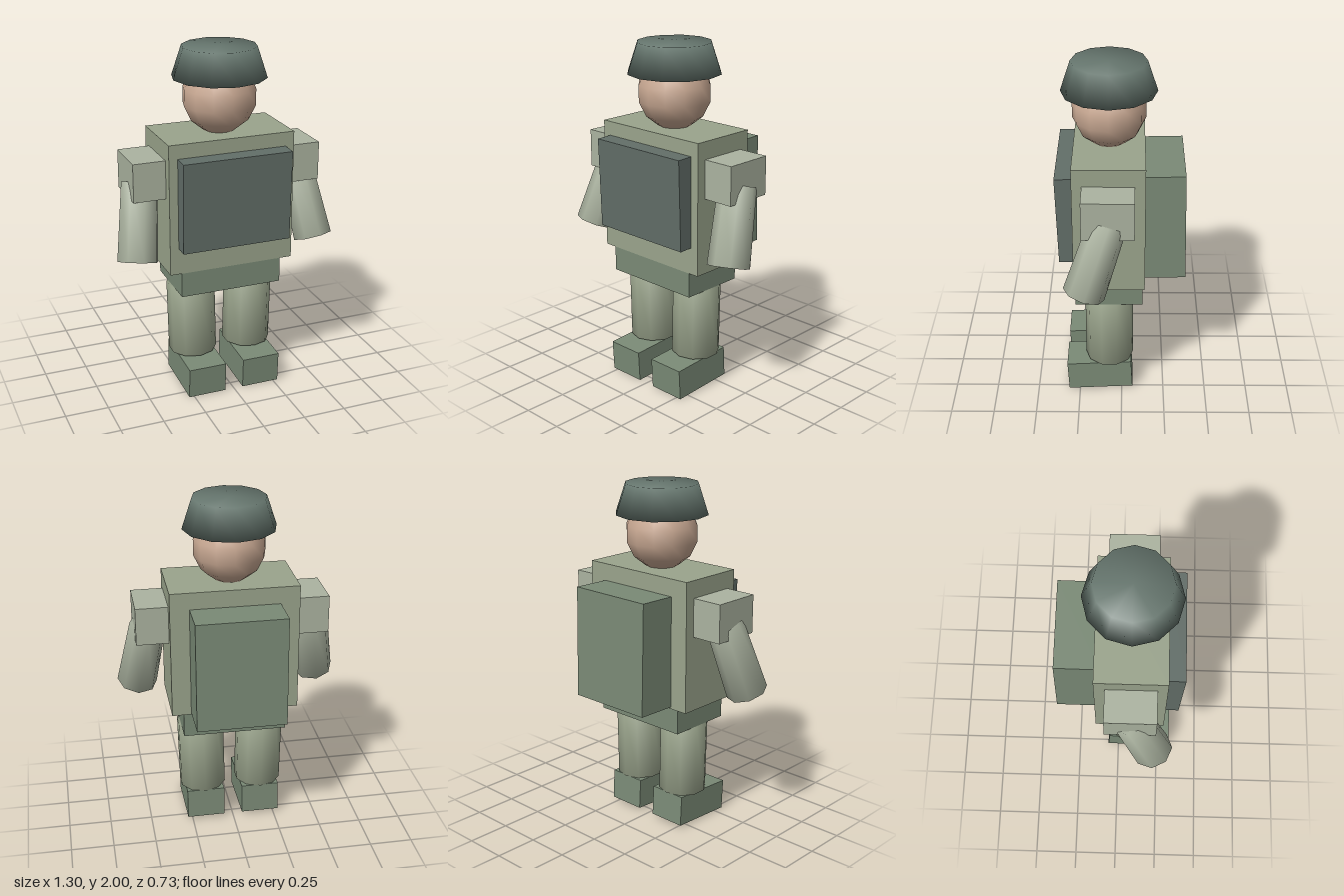
import * as THREE from 'three';

const paint = (color) => new THREE.MeshStandardMaterial({ color, roughness: 0.9 });
const cloth = paint(0x9aa48c);
const sleeve = paint(0xabb3a0);
const canvas = paint(0x7a8a76);
const plate = paint(0x626e68);
const steel = paint(0x66766e);
const skin = paint(0xc8a892);

export function createModel() {
  const model = new THREE.Group();

  const add = (name, geometry, material, position, tilt = 0) => {
    const mesh = new THREE.Mesh(geometry, material);
    mesh.name = name;
    mesh.position.set(...position);
    mesh.rotation.x = tilt;
    model.add(mesh);
    return mesh;
  };

  const box = (name, material, size, position, tilt) =>
    add(name, new THREE.BoxGeometry(...size), material, position, tilt);

  // Closed round part whose shading rolls softly over its rims
  const drum = (rBottom, rTop, height, sides) => new THREE.LatheGeometry([
    new THREE.Vector2(0, -height / 2),
    new THREE.Vector2(rBottom, -height / 2),
    new THREE.Vector2(rTop, height / 2),
    new THREE.Vector2(0, height / 2),
  ], sides);

  // Limb running between two points
  const limb = (name, material, bottom, top, rBottom, rTop, sides) => {
    const a = new THREE.Vector3(...bottom);
    const b = new THREE.Vector3(...top);
    const axis = b.clone().sub(a);
    const middle = a.clone().add(b).multiplyScalar(0.5);
    const mesh = add(name, drum(rBottom, rTop, axis.length(), sides), material, middle.toArray());
    mesh.quaternion.setFromUnitVectors(new THREE.Vector3(0, 1, 0), axis.normalize());
  };

  // Body and gear
  box('torso', cloth, [0.735, 0.755, 0.4], [0, 1.1525, 0.07]);
  box('pelvis', canvas, [0.6, 0.16, 0.385], [0, 0.708, 0.073]);
  box('chestPlate', plate, [0.635, 0.52, 0.11], [0, 1.188, 0.302], 0.03);
  box('backpack', canvas, [0.515, 0.645, 0.25], [0, 1.11, -0.232], 0.02);

  // Head and helmet
  add('head', new THREE.SphereGeometry(0.21, 12, 7), skin, [0, 1.72, 0.07]);
  add('helmet', drum(0.267, 0.21, 0.172, 12), steel, [0, 1.914, 0.07]);

  // Arms, legs and boots, mirrored
  for (const [side, s] of [['left', 1], ['right', -1]]) {
    box(side + 'Shoulder', sleeve, [0.22, 0.22, 0.285], [s * 0.442, 1.32, 0.072]);
    limb(side + 'Arm', sleeve, [s * 0.535, 0.86, 0.205], [s * 0.472, 1.275, 0.068], 0.118, 0.105, 8);
    limb(side + 'Leg', cloth, [s * 0.17, 0.2, 0.073], [s * 0.18, 0.63, 0.073], 0.14, 0.14, 10);
    box(side + 'Boot', canvas, [0.225, 0.18, 0.38], [s * 0.167, 0.1, 0.13], 0.053);
  }
  return model;
}
